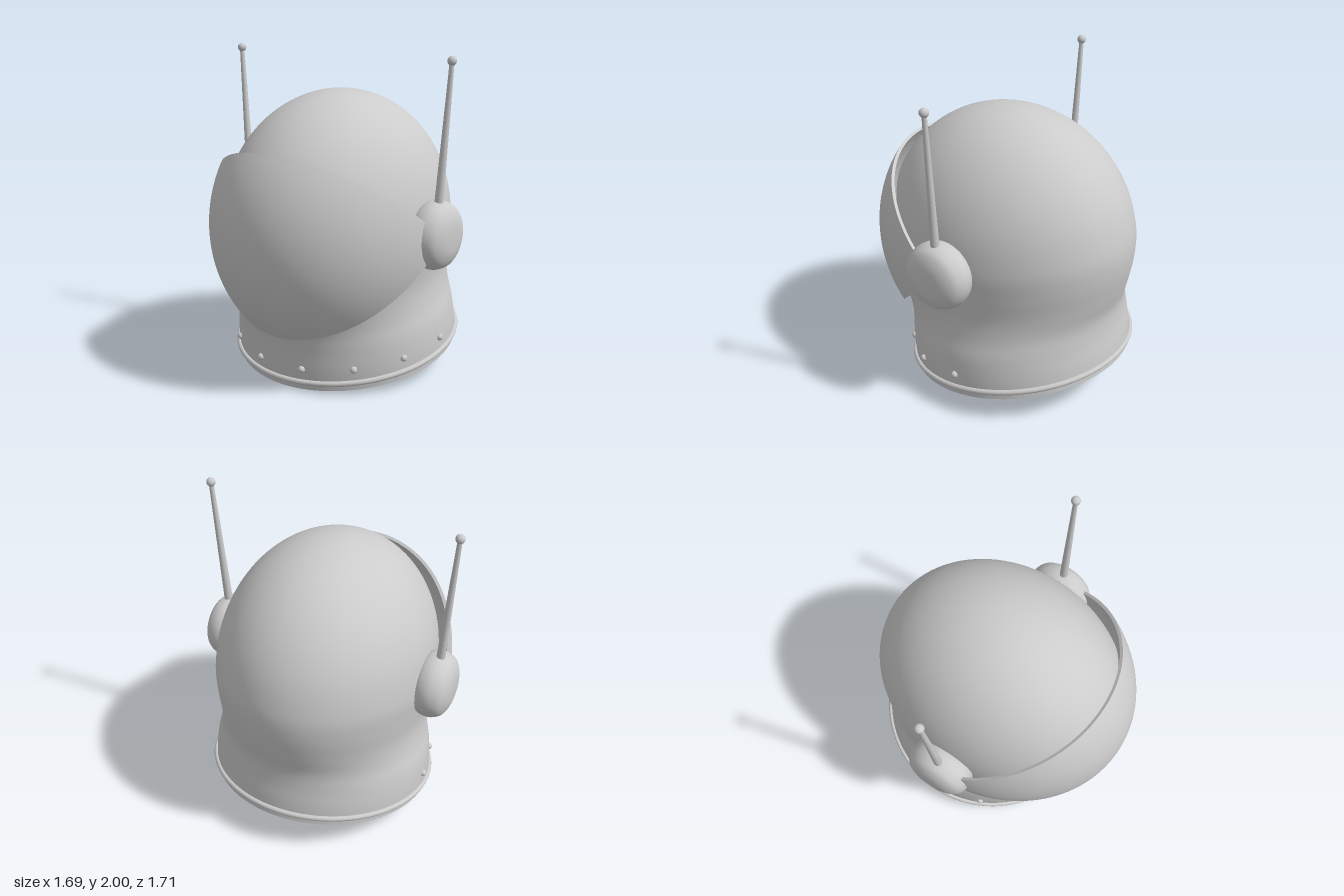
import * as THREE from 'three';
import { mergeVertices, mergeGeometries } from 'three/addons/utils/BufferGeometryUtils.js';

const material = new THREE.MeshStandardMaterial({ color: 0xcccccc });
const TILT = 0.161; // lean of the neck opening
const CENTER = new THREE.Vector3(0, 0.93, -0.027);
const R = 0.828;

function addMesh(parent, name, geometry) {
  const mesh = new THREE.Mesh(geometry, material);
  mesh.name = name;
  parent.add(mesh);
  return mesh;
}

function fromTriangles(points, smooth) {
  let g = new THREE.BufferGeometry().setFromPoints(points);
  if (smooth) g = mergeVertices(g, 1e-4);
  g.computeVertexNormals();
  return smooth ? g.toNonIndexed() : g;
}

// Thick sheet from surface(u, v, inset), cut away where hole(point) < 0, edges closed
function thickSheet(surface, nu, nv, thickness, hole = () => 1) {
  const outer = [], inner = [], rim = [], edges = new Map();
  const key = (p) => p.toArray().map((n) => Math.round(n * 1e4) + 0).join();
  const vertex = (u, v) => {
    const p = surface(u, v, 0);
    return { u, v, p, k: key(p), f: hole(p) };
  };
  const emit = (a, b, c) => {
    if (a.k === b.k || b.k === c.k || c.k === a.k) return;
    const [ia, ib, ic] = [a, b, c].map((q) => surface(q.u, q.v, thickness));
    outer.push(a.p, b.p, c.p);
    inner.push(ic, ib, ia);
    for (const [s, e, is, ie] of [[a, b, ia, ib], [b, c, ib, ic], [c, a, ic, ia]]) {
      const back = e.k + '|' + s.k;
      if (edges.has(back)) edges.delete(back);
      else edges.set(s.k + '|' + e.k, [s.p, e.p, is, ie]);
    }
  };
  const clip = (...tri) => {
    const poly = [];
    tri.forEach((a, i) => {
      const b = tri[(i + 1) % 3];
      if (a.f >= 0) poly.push(a);
      if ((a.f >= 0) !== (b.f >= 0)) {
        // always interpolate from the kept side so neighbours agree
        const [k, d] = a.f >= 0 ? [a, b] : [b, a];
        const t = k.f / (k.f - d.f);
        poly.push(vertex(k.u + (d.u - k.u) * t, k.v + (d.v - k.v) * t));
      }
    });
    for (let i = 1; i + 1 < poly.length; i++) emit(poly[0], poly[i], poly[i + 1]);
  };
  for (let i = 0; i < nu; i++) {
    for (let j = 0; j < nv; j++) {
      const a = vertex(i / nu, j / nv), b = vertex((i + 1) / nu, j / nv);
      const c = vertex((i + 1) / nu, (j + 1) / nv), d = vertex(i / nu, (j + 1) / nv);
      clip(a, b, c);
      clip(a, c, d);
    }
  }
  for (const [s, e, is, ie] of edges.values()) rim.push(e, s, is, e, is, ie);
  return mergeGeometries([fromTriangles(outer, true), fromTriangles(inner, true), fromTriangles(rim, false)]);
}

// Half-width, height and half-depth of the shell from neck to crown
function shellProfile() {
  const pts = [
    [0.716, -0.822, 0.716], [0.715, -0.7, 0.715], [0.7, -0.57, 0.708], [0.668, -0.45, 0.718],
    [0.652, -0.32, 0.764], [0.665, -0.16, 0.812],
  ].map((p) => new THREE.Vector3(...p));
  for (let deg = 0; deg <= 105; deg += 15) {
    const a = THREE.MathUtils.degToRad(deg);
    pts.push(new THREE.Vector3(0.677 * Math.cos(a), R * Math.sin(a), R * Math.cos(a)));
  }
  const curve = new THREE.CatmullRomCurve3(pts, false, 'catmullrom', 0.5);
  return (v) => curve.getPoint((v * (pts.length - 2)) / (pts.length - 1));
}

export function createModel() {
  const model = new THREE.Group();
  model.name = 'spaceHelmet';

  // Shell, neck ring and rivets share the tilted neck axis
  const body = new THREE.Group();
  body.name = 'helmetBody';
  body.position.copy(CENTER);
  body.rotation.x = TILT;
  model.add(body);

  const profile = shellProfile();
  const shell = (u, v, inset) => {
    const p = profile(v), a = u * Math.PI * 2, k = 1 - inset / R;
    const y = v > 0 ? p.y * (p.y > 0 ? k : 1) : p.y;
    return new THREE.Vector3(
      p.x * k * Math.sin(a), y, p.z * k * Math.cos(a) - 0.037 * Math.min(p.y, 0));
  };
  // Rounded face opening behind the visor
  const faceOpening = (p) => {
    if (p.z < 0) return 1;
    const y = p.y * Math.cos(TILT) - p.z * Math.sin(TILT);
    return (p.x / 0.6) ** 2 + ((y + 0.03) / 0.46) ** 2 - 1;
  };
  addMesh(body, 'shell', thickSheet(shell, 96, 64, 0.025, faceOpening));

  const ring = addMesh(body, 'neckRing', new THREE.TorusGeometry(0.721, 0.017, 12, 96));
  ring.rotation.x = Math.PI / 2;
  ring.position.set(0, -0.77, 0.029);

  const rivetGeometry = new THREE.SphereGeometry(0.022, 16, 12);
  for (let i = 0; i < 8; i++) {
    const a = -Math.PI / 2 + (i * Math.PI) / 7;
    const rivet = addMesh(body, 'rivet', rivetGeometry);
    rivet.position.set(0.715 * Math.sin(a), -0.685, 0.025 + 0.715 * Math.cos(a));
  }

  // Visor: a wedge of a wider ellipsoid pivoting at the ears
  const visor = (u, v, inset) => {
    const a = THREE.MathUtils.degToRad(-43 + 79.5 * v);
    const r = (0.887 - inset) * Math.sin(Math.PI * u);
    return new THREE.Vector3(-(0.765 - inset) * Math.cos(Math.PI * u), r * Math.sin(a), r * Math.cos(a));
  };
  addMesh(model, 'visor', thickSheet(visor, 64, 40, 0.02)).position.copy(CENTER);

  // Ear pods with antennae
  const podProfile = new THREE.SplineCurve([
    [0.15, 0.61], [0.195, 0.655], [0.211, 0.71], [0.203, 0.76], [0.172, 0.806], [0.1, 0.837], [0, 0.845],
  ].map((p) => new THREE.Vector2(...p))).getPoints(30);
  podProfile[podProfile.length - 1].x = 0;
  const podGeometry = new THREE.LatheGeometry(podProfile, 48);
  const up = new THREE.Vector3(0, 1, 0);
  for (const [side, label] of [[1, 'left'], [-1, 'right']]) {
    const pod = addMesh(model, label + 'EarPod', podGeometry);
    pod.rotation.z = (-side * Math.PI) / 2;
    pod.position.set(0, 0.937, -0.024);

    const base = new THREE.Vector3(side * 0.734, 1.11, -0.016);
    const tip = new THREE.Vector3(side * 0.789, 1.972, -0.026);
    const along = tip.clone().sub(base);
    const rod = addMesh(model, label + 'Antenna', new THREE.CylinderGeometry(0.014, 0.027, along.length(), 20));
    rod.position.copy(base).add(tip).multiplyScalar(0.5);
    rod.quaternion.setFromUnitVectors(up, along.normalize());
    addMesh(model, label + 'AntennaTip', new THREE.SphereGeometry(0.028, 20, 14)).position.copy(tip);
  }
  return model;
}
